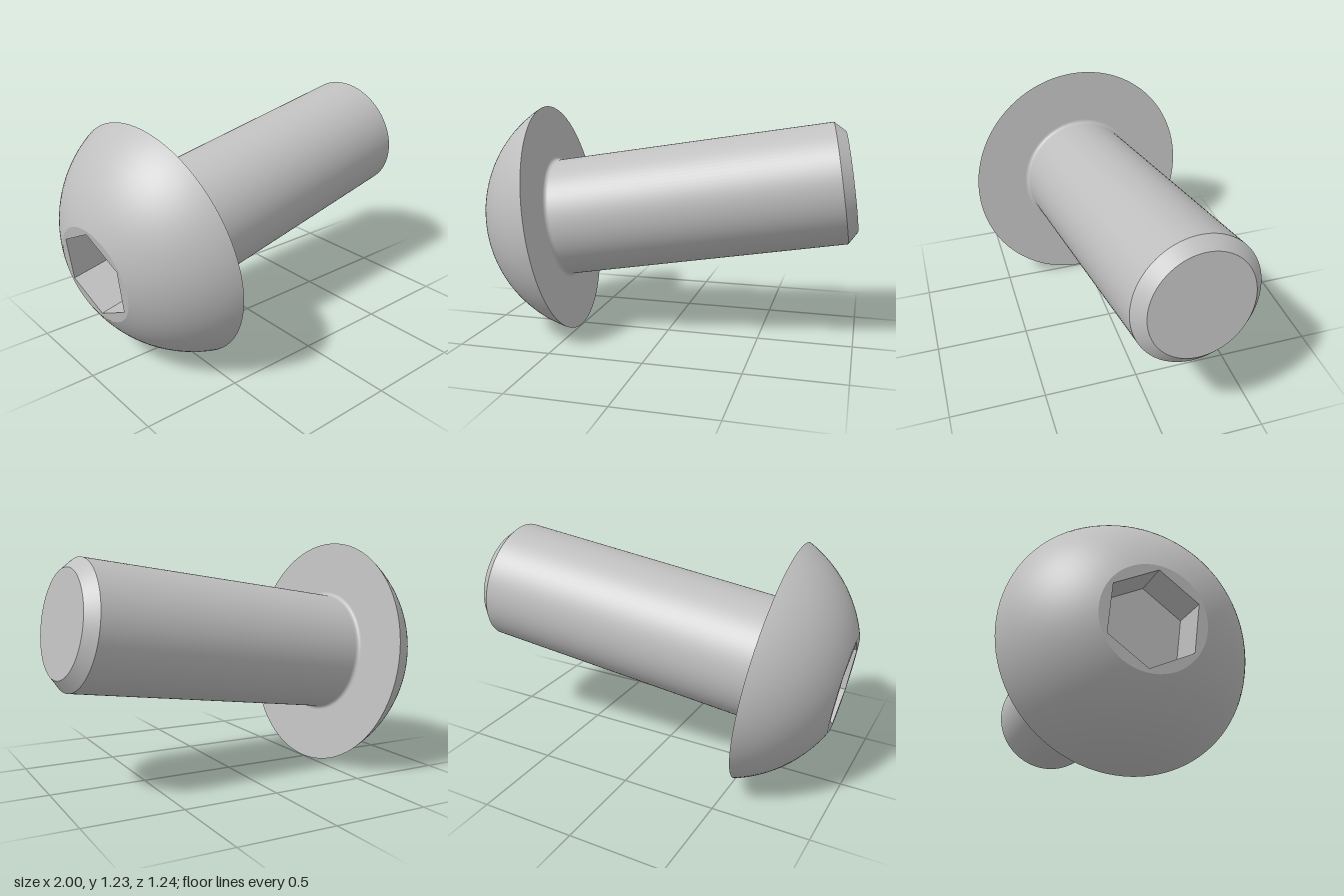
import * as THREE from 'three';

// Local frame: +y runs along the shank, y = 0 is the underside of the head.
const SEGMENTS = 96;
const HEAD_R = 0.622, HEAD_H = 0.362, FLAT_R = 0.25;
const SHANK_R = 0.321, LENGTH = 1.578, CHAMFER = 0.056, FILLET = 0.02;
const HEX_R = 0.23, HEX_TURN = THREE.MathUtils.degToRad(5), SOCKET_DEPTH = 0.204;

export function createModel() {
  const steel = new THREE.MeshStandardMaterial({ color: 0xc0c0c0 });
  steel.name = 'steel grey';

  const bolt = new THREE.Group();
  bolt.name = 'bolt';

  const add = (name, geometry) => {
    const mesh = new THREE.Mesh(geometry, steel);
    mesh.name = name;
    bolt.add(mesh);
    return mesh;
  };
  // Each lathe is its own surface, so edges between parts stay sharp
  const turn = (name, points) => add(name,
    new THREE.LatheGeometry(points.map(([r, y]) => new THREE.Vector2(r, y)), SEGMENTS));
  const arc = (n, f) => Array.from({ length: n + 1 }, (_, i) => f(i / n));

  // Domed head: arc centred on the axis, from the flat to the rim
  const c = (HEAD_R ** 2 - FLAT_R ** 2 - HEAD_H ** 2) / (2 * HEAD_H);
  const domeR = Math.hypot(HEAD_R, c);
  const a0 = Math.asin(FLAT_R / domeR), a1 = Math.atan2(HEAD_R, c);
  turn('headDome', arc(24, t => {
    const a = a0 + (a1 - a0) * t;
    return [domeR * Math.sin(a), c - domeR * Math.cos(a)];
  }));

  // Underside of the head and the fillet into the shank
  turn('headUnderside', [[HEAD_R, 0], [SHANK_R + FILLET, 0]]);
  turn('fillet', arc(6, t => {
    const a = t * Math.PI / 2;
    return [SHANK_R + FILLET * (1 - Math.sin(a)), FILLET * (1 - Math.cos(a))];
  }));

  // Shank with chamfered tip
  turn('shank', [[SHANK_R, FILLET], [SHANK_R, LENGTH - CHAMFER]]);
  turn('tipChamfer', [[SHANK_R, LENGTH - CHAMFER], [SHANK_R - CHAMFER, LENGTH]]);
  turn('tipFace', [[SHANK_R - CHAMFER, LENGTH], [0, LENGTH]]);

  // Flat of the head with the hexagonal socket cut through it
  const flat = new THREE.Shape().absarc(0, 0, FLAT_R, 0, Math.PI * 2);
  flat.holes.push(new THREE.Path(arc(5, t => {
    const a = HEX_TURN - t * 5 * Math.PI / 3;
    return new THREE.Vector2(HEX_R * Math.cos(a), HEX_R * Math.sin(a));
  })).closePath());
  const socket = new THREE.ExtrudeGeometry(flat,
    { depth: SOCKET_DEPTH, bevelEnabled: false, curveSegments: SEGMENTS / 2 });
  add('hexSocket', socket.rotateX(-Math.PI / 2)).position.y = -HEAD_H;
  const floor = new THREE.CircleGeometry(HEX_R + 0.005, 6, -HEX_TURN);
  add('socketFloor', floor.rotateX(Math.PI / 2)).position.y = SOCKET_DEPTH - HEAD_H;

  // Lay the bolt down, resting on the head rim with the tip raised
  const axis = new THREE.Vector3(0.985, 0.152, -0.085).normalize();
  const side = new THREE.Vector3(0, 0, 1).addScaledVector(axis, -axis.z).normalize();
  const across = new THREE.Vector3().crossVectors(axis, side);
  bolt.quaternion.setFromRotationMatrix(new THREE.Matrix4().makeBasis(across, axis, side));
  bolt.position.set(-0.6, 0.615, 0);

  const model = new THREE.Group();
  model.name = 'buttonHeadBolt';
  model.add(bolt);
  return model;
}
